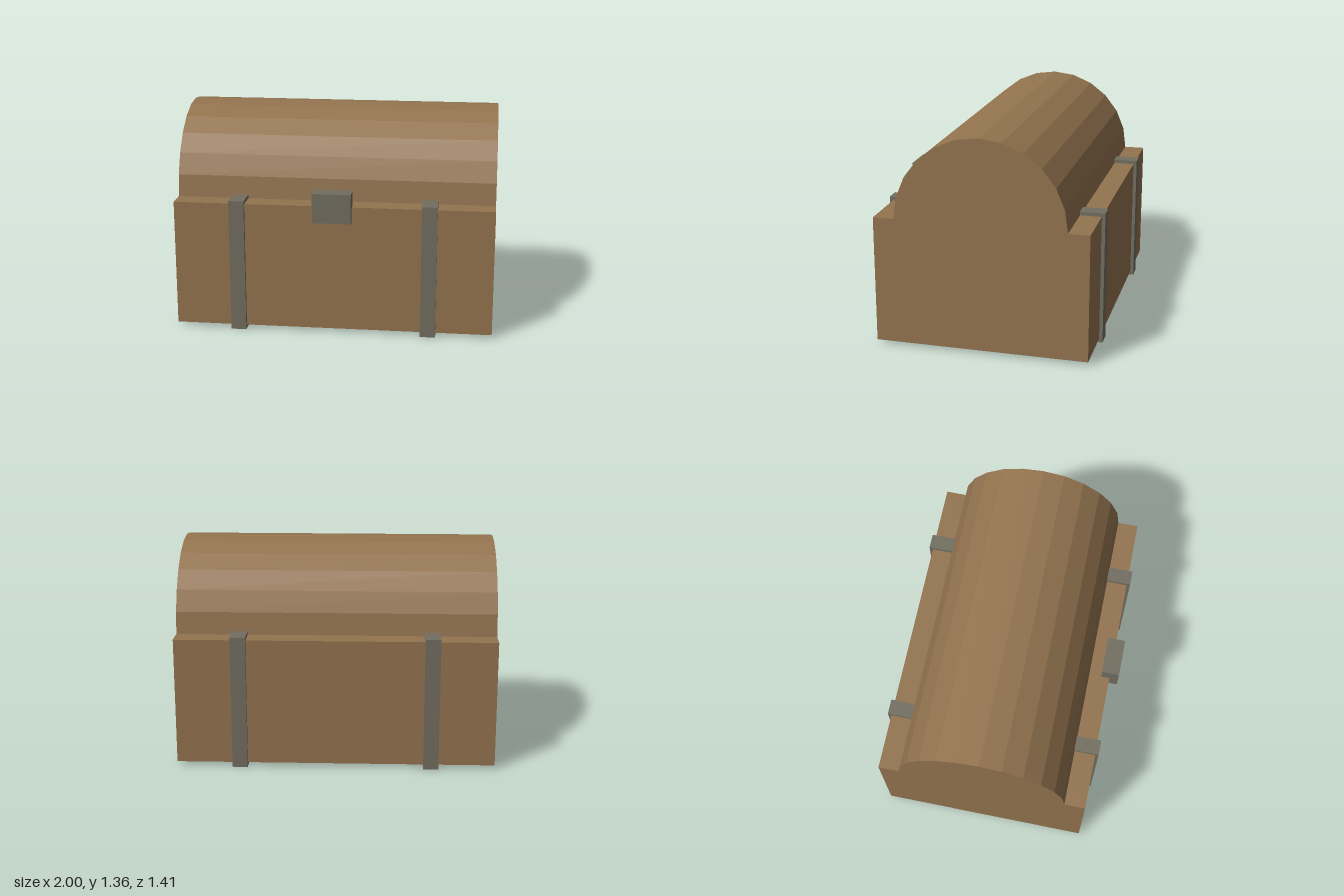
import * as THREE from 'three';

export function createModel() {
  const chest = new THREE.Group();
  chest.name = 'chest';

  const wood = new THREE.MeshStandardMaterial({ color: 0x94744f });
  wood.name = 'brown wood';
  const metal = new THREE.MeshStandardMaterial({ color: 0x726e61 });
  metal.name = 'grey metal';

  const add = (name, geometry, material) => {
    const mesh = new THREE.Mesh(geometry, material);
    mesh.name = name;
    chest.add(mesh);
    return mesh;
  };

  // Box given by its lower and upper corners
  const addBox = (name, [x0, y0, z0], [x1, y1, z1], material) =>
    add(name, new THREE.BoxGeometry(x1 - x0, y1 - y0, z1 - z0), material)
      .position.set((x0 + x1) / 2, (y0 + y1) / 2, (z0 + z1) / 2);

  addBox('body', [-1, 0.024, -0.684], [1, 0.824, 0.65], wood);

  // Faceted half-round lid, extruded along the length
  const radius = 0.534, facets = 12, arch = [];
  for (let i = 0; i <= facets; i++) {
    const a = (Math.PI * i) / facets;
    arch.push(new THREE.Vector2(radius * Math.cos(a), radius * Math.sin(a)));
  }
  const lid = new THREE.ExtrudeGeometry(new THREE.Shape(arch), { depth: 2, bevelEnabled: false });
  lid.translate(0, 0, -1).rotateY(Math.PI / 2);
  add('lid', lid, wood).position.set(0, 0.824, -0.017);

  // Straps around the body, mirrored left and right
  for (const [side, x] of [['left', 0.6], ['right', -0.6]]) {
    addBox(side + 'Strap', [x - 0.048, 0, -0.706], [x + 0.048, 0.846, 0.672], metal);
  }

  // Latch over the front edge
  addBox('latch', [-0.12, 0.732, 0.596], [0.12, 0.918, 0.706], metal);

  return chest;
}
